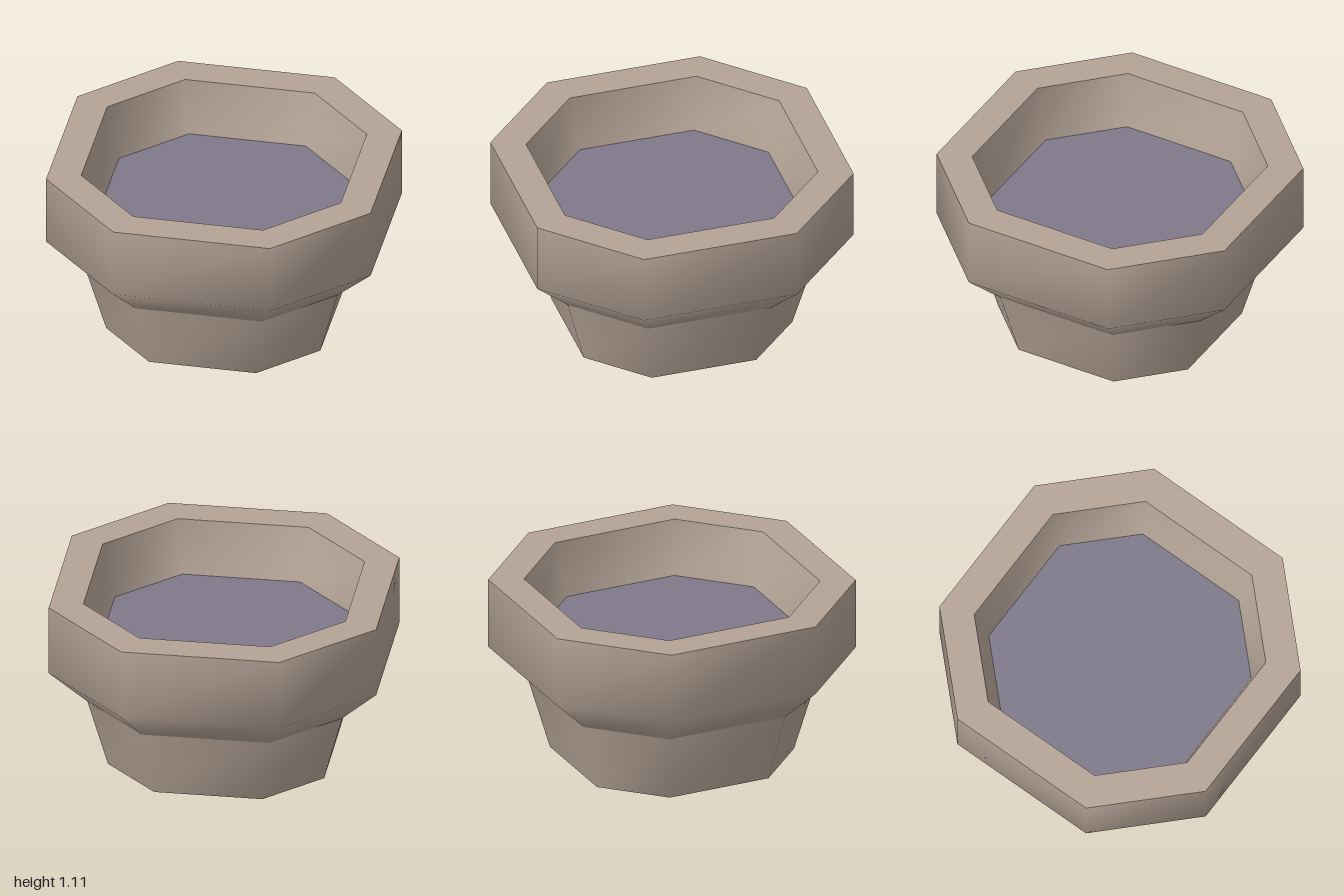
import * as THREE from 'three';

// Eight-cornered ring: half width w, corner offset c, height y (anticlockwise from above)
function ring(w, c, y) {
  return [[w, c], [w, -c], [c, -w], [-c, -w], [-w, -c], [-w, c], [-c, w], [c, w]]
    .map(([x, z]) => [x, y, z]);
}

// Joins successive rings with smooth shading inside the strip
function loft(rings) {
  const index = [];
  for (let r = 0; r < rings.length - 1; r++) {
    for (let i = 0; i < 8; i++) {
      const j = (i + 1) % 8;
      const a = r * 8 + i, b = r * 8 + j;
      index.push(a, b, b + 8, a, b + 8, a + 8);
    }
  }
  const geometry = new THREE.BufferGeometry();
  geometry.setAttribute('position', new THREE.Float32BufferAttribute(rings.flat(2), 3));
  geometry.setIndex(index);
  geometry.computeVertexNormals();
  return geometry;
}

export function createModel() {
  const stone = new THREE.MeshStandardMaterial({ color: 0xb5a497 });
  stone.name = 'warm stone';
  const filling = new THREE.MeshStandardMaterial({ color: 0x7f798a });
  filling.name = 'muted violet';

  const group = new THREE.Group();
  group.name = 'octagonalPlanter';
  const add = (name, material, ...rings) => {
    const mesh = new THREE.Mesh(loft(rings), material);
    mesh.name = name;
    group.add(mesh);
  };

  const foot = ring(0.66, 0.33, 0);
  const neck = ring(0.778, 0.389, 0.445);
  const shoulder = ring(1, 0.483, 0.667);
  const outerRim = ring(1, 0.483, 1.111);
  const innerRim = ring(0.8, 0.4, 1.111);
  const basin = ring(0.72, 0.36, 0.778);

  // Tapered base and its underside
  add('underside', stone, ring(0, 0, 0), foot);
  add('base', stone, foot, neck);

  // Flared bowl, flat rim and sloping inner wall
  add('bowl', stone, neck, shoulder, outerRim);
  add('rim', stone, outerRim, innerRim);
  add('innerWall', stone, innerRim, basin);

  // Flat surface inside the bowl
  add('filling', filling, basin, ring(0, 0, 0.778));

  return group;
}
